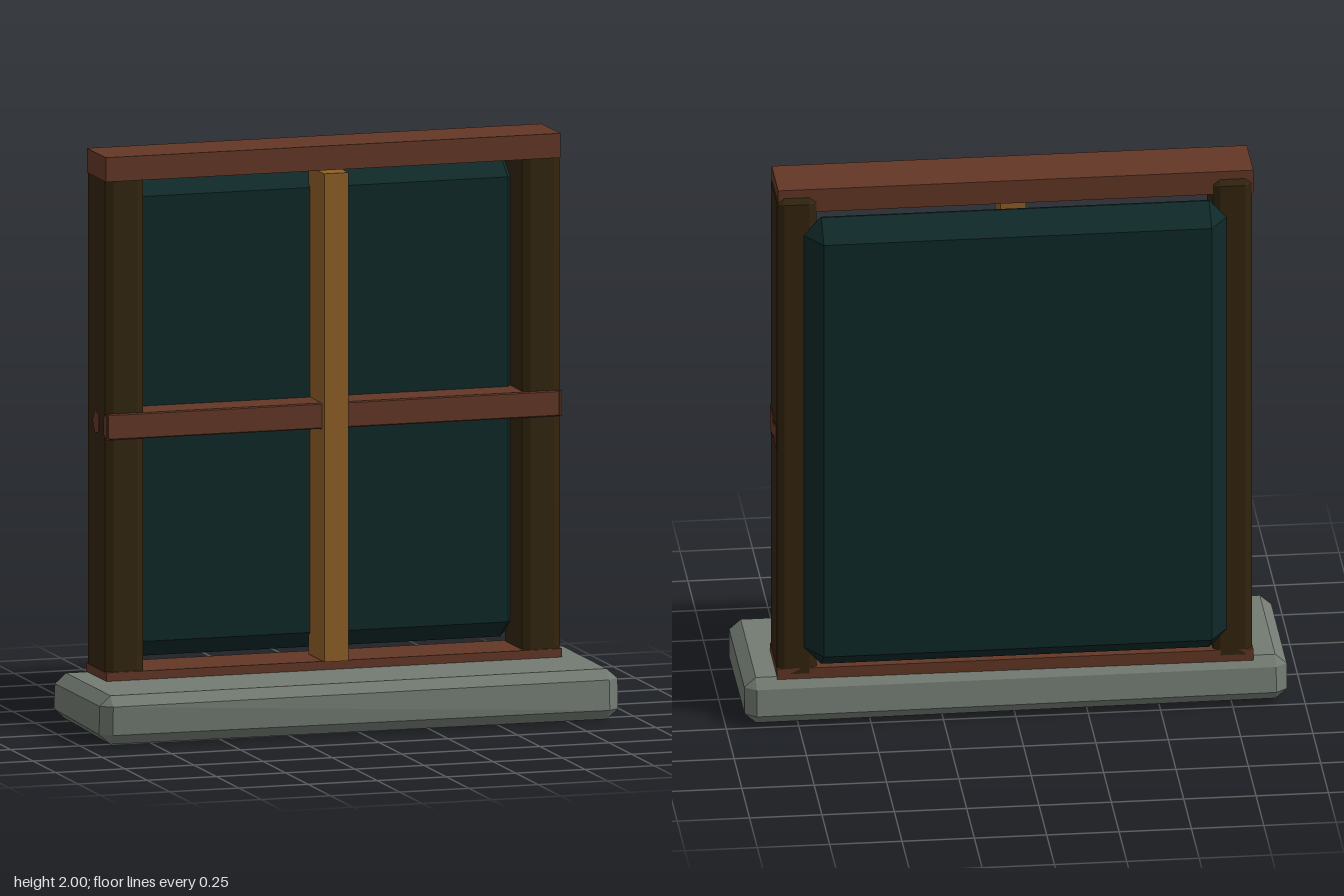
import * as THREE from 'three';
import { ConvexGeometry } from 'three/addons/geometries/ConvexGeometry.js';

const material = (name, color) => {
  const m = new THREE.MeshStandardMaterial({ color, flatShading: true });
  m.name = name;
  return m;
};

// Box between two corners with every edge cut by c = [cx, cy, cz]; warp can nudge each point
function chamferBox(lo, hi, c, warp = (p) => p) {
  const points = [];
  for (const sx of [0, 1]) for (const sy of [0, 1]) for (const sz of [0, 1]) {
    const s = [sx, sy, sz];
    for (let outer = 0; outer < 3; outer++) {
      const p = s.map((side, i) => {
        const inset = i === outer ? 0 : c[i];
        return side ? hi[i] - inset : lo[i] + inset;
      });
      points.push(warp(new THREE.Vector3(...p)));
    }
  }
  return new ConvexGeometry(points);
}

function box(lo, hi) {
  const size = hi.map((v, i) => v - lo[i]);
  return new THREE.BoxGeometry(...size).translate(...hi.map((v, i) => (v + lo[i]) / 2));
}

// Thin patch on a post's outer side, outlined by [z, y] pairs
function sidePatch(side, outline) {
  const shape = new THREE.Shape(outline.map(([z, y]) => new THREE.Vector2(-z, y)));
  const g = new THREE.ExtrudeGeometry(shape, { depth: 0.008, bevelEnabled: false });
  return g.rotateY(Math.PI / 2).translate(side > 0 ? 0.815 : -0.823, 0, 0);
}

export function createModel() {
  const model = new THREE.Group();
  model.name = 'window';
  const stone = material('grey stone', 0x737b73);
  const redWood = material('red brown wood', 0x633726);
  const darkWood = material('dark wood', 0x33250f);
  const lightWood = material('golden wood', 0x8f5f26);
  const glass = material('dark glass', 0x0f2828);

  const add = (name, geometry, mat) => {
    const mesh = new THREE.Mesh(geometry, mat);
    mesh.name = name;
    model.add(mesh);
  };

  // Rough stone sill, slightly uneven
  add('sill', chamferBox([-0.94, 0.005, -0.255], [0.935, 0.175, 0.315], [0.04, 0.035, 0.03], (p) => {
    if (p.y < 0.1) {
      p.y += p.z < 0 ? 0.01 : 0;
      p.y -= p.x > 0 ? 0.005 : 0;
      p.z += p.z > 0 ? -0.005 : 0;
    } else {
      p.z += p.z < 0 ? 0.012 : p.x > 0 ? -0.012 : 0;
    }
    p.z -= p.x > 0 && p.z < 0 ? 0.005 : 0;
    return p;
  }), stone);

  // Pane with deep bevels on both faces
  add('pane', chamferBox([-0.73, 0.22, -0.317], [0.73, 1.9, -0.13], [0.06, 0.065, 0.09]), glass);

  // Side posts with cut edges
  for (const side of [-1, 1]) {
    const lo = side > 0 ? 0.685 : -0.821;
    add(side > 0 ? 'leftPost' : 'rightPost',
      chamferBox([lo, 0.165, -0.225], [lo + 0.136, 1.97, -0.005], [0.025, 0.02, 0.015]), darkWood);
  }

  // Horizontal rails
  add('topRail', box([-0.825, 1.915, -0.21], [0.817, 2, 0]), redWood);
  add('bottomRail', box([-0.823, 0.16, -0.225], [0.822, 0.205, 0]), redWood);
  add('middleRail', chamferBox([-0.82, 1.015, -0.2], [0.815, 1.105, 0.002], [0.004, 0.004, 0.004]), redWood);

  // Ends of the middle rail showing through the posts
  add('leftRailEnd', sidePatch(1, [[0, 1.015], [-0.09, 1.02], [-0.115, 1.045], [-0.14, 1.02], [-0.2, 1.02],
    [-0.2, 1.105], [-0.145, 1.105], [-0.115, 1.065], [-0.09, 1.1], [0, 1.105]]), redWood);
  add('rightRailEndFront', sidePatch(-1, [[0, 1.015], [-0.03, 1.03], [-0.035, 1.09], [0, 1.105]]), redWood);
  add('rightRailEndBack', sidePatch(-1, [[-0.09, 1.03], [-0.13, 1.02], [-0.155, 1.06], [-0.13, 1.1], [-0.09, 1.09]]), redWood);

  // Upright bar in the middle, standing proud of the frame
  add('middleBar', box([-0.045, 0.207, -0.15], [0.043, 1.908, 0.028]), lightWood);

  return model;
}
